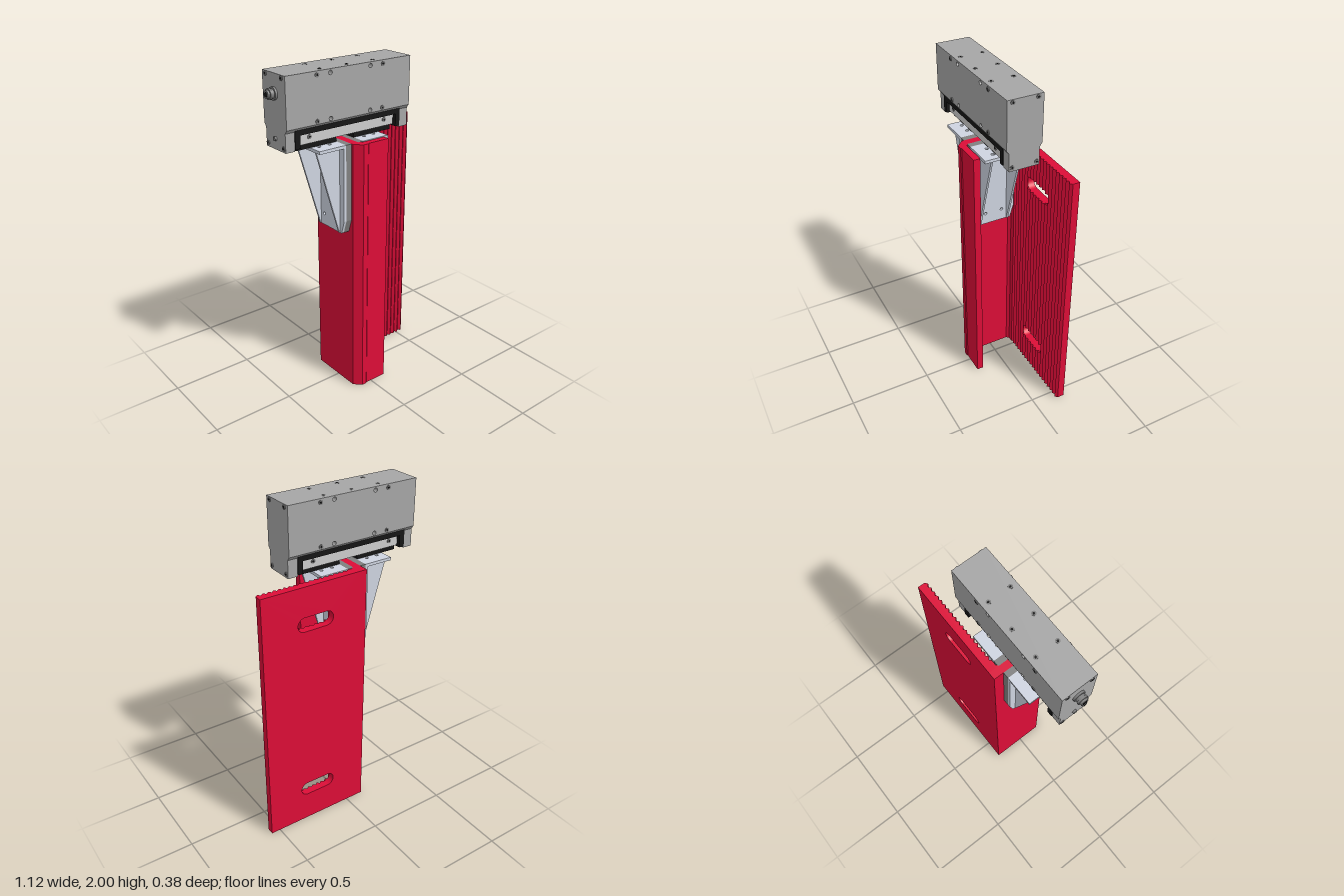
import * as THREE from 'three';

const mat = (color) => new THREE.MeshStandardMaterial({ color });
const RED = mat(0xdc0d37), GREY = mat(0xa6a6a6), DARK = mat(0x808080);
const BLACK = mat(0x151515), PALE = mat(0xced4e0), BAR = mat(0xcccccc);

function add(parent, name, geometry, material, x = 0, y = 0, z = 0) {
  const mesh = new THREE.Mesh(geometry, material);
  mesh.name = name;
  mesh.position.set(x, y, z);
  parent.add(mesh);
  return mesh;
}

// box given by its limits on each axis
function block(parent, name, material, x0, x1, y0, y1, z0, z1) {
  return add(parent, name, new THREE.BoxGeometry(x1 - x0, y1 - y0, z1 - z0), material,
    (x0 + x1) / 2, (y0 + y1) / 2, (z0 + z1) / 2);
}

const polygon = (pts) => new THREE.Shape(pts.map(([a, b]) => new THREE.Vector2(a, b)));
const extrude = (shape, depth) =>
  new THREE.ExtrudeGeometry(shape, { depth, bevelEnabled: false, curveSegments: 12 });

// [x, z] outline raised from y0 to y1
const prismY = (pts, y0, y1) =>
  extrude(polygon(pts.map(([x, z]) => [x, -z])), y1 - y0).rotateX(-Math.PI / 2).translate(0, y0, 0);

// shape drawn as [-z, y], extruded from x0 to x1
const prismX = (shape, x0, x1) => extrude(shape, x1 - x0).rotateY(Math.PI / 2).translate(x0, 0, 0);

function hole(shape, x, y, r) {
  shape.holes.push(new THREE.Path().absarc(x, y, r, 0, Math.PI * 2, true));
}

// small cap screw with a hex socket, its axis along x, y or z
function screw(parent, axis, x, y, z, r = 0.013) {
  const g = new THREE.Group();
  g.name = 'screw';
  add(g, 'screwHead', new THREE.CylinderGeometry(r, r, 0.006, 20), DARK);
  add(g, 'screwSocket', new THREE.CylinderGeometry(r * 0.5, r * 0.5, 0.008, 6), BLACK);
  if (axis === 'x') g.rotation.z = Math.PI / 2;
  if (axis === 'z') g.rotation.x = Math.PI / 2;
  g.position.set(x, y, z);
  parent.add(g);
}

const HEIGHT = 1.58;
const SLOT = { x: 0.221, half: 0.072, r: 0.043, ys: [0.228, 1.357] };

function createColumn() {
  const g = new THREE.Group();
  g.name = 'column';

  // web with the short front lip
  add(g, 'webAndLip', prismY([
    [-0.115, -0.195], [-0.07, -0.195], [-0.07, 0.13], [-0.055, 0.145], [0.107, 0.145],
    [0.107, 0.185], [-0.035, 0.185], [-0.042, 0.19], [-0.073, 0.19], [-0.115, 0.148],
  ], 0, HEIGHT), RED);

  // long rear plate with two slots
  const plate = polygon([[-0.07, 0], [0.557, 0], [0.557, HEIGHT], [-0.07, HEIGHT]]);
  for (const y of SLOT.ys) {
    const p = new THREE.Path();
    p.absarc(SLOT.x + SLOT.half, y, SLOT.r, -Math.PI / 2, Math.PI / 2, false);
    p.absarc(SLOT.x - SLOT.half, y, SLOT.r, Math.PI / 2, Math.PI * 1.5, false);
    p.closePath();
    plate.holes.push(p);
  }
  add(g, 'rearPlate', extrude(plate, 0.043).translate(0, 0, -0.195), RED);
  add(g, 'plateShoulder', prismY([[-0.07, -0.152], [-0.013, -0.152], [-0.022, -0.14],
    [-0.055, -0.14], [-0.07, -0.125]], 0, HEIGHT), RED);

  // serrations, interrupted at the slots
  const count = 18, pitch = 0.57 / count;
  for (let i = 0; i < count; i++) {
    const x0 = -0.013 + i * pitch, xm = x0 + pitch / 2;
    const dx = Math.abs(xm - SLOT.x), over = Math.max(0, dx - SLOT.half);
    const h = over < SLOT.r ? Math.sqrt(SLOT.r ** 2 - over ** 2) : 0;
    const cuts = h ? [0, ...SLOT.ys.flatMap((y) => [y - h, y + h]), HEIGHT] : [0, HEIGHT];
    for (let k = 0; k < cuts.length; k += 2) {
      add(g, 'serration', prismY([[x0, -0.152], [x0 + pitch, -0.152], [xm, -0.139]],
        cuts[k], cuts[k + 1]), RED);
    }
  }
  return g;
}

// angle bracket, reaching out along local +x from the middle of the web
function createBracket() {
  const g = new THREE.Group();
  g.name = 'bracket';
  const face = () => {
    const s = polygon([[-0.11, 1.05], [0.11, 1.05], [0.135, 1.13], [0.135, HEIGHT],
      [-0.135, HEIGHT], [-0.135, 1.13]]);
    for (const z of [-0.053, 0.053]) for (const y of [1.12, 1.5]) hole(s, z, y, 0.009);
    return s;
  };
  add(g, 'spacer', prismX(face(), 0.0225, 0.06), DARK);
  add(g, 'bracketBack', prismX(face(), 0.06, 0.076), PALE);

  // top flange with fixing holes
  const top = polygon([[0.076, -0.135], [0.2375, -0.135], [0.2375, 0.135], [0.076, 0.135]]);
  for (const x of [0.12, 0.19]) for (const z of [-0.065, 0.065]) hole(top, x, z, 0.01);
  add(g, 'bracketTop', extrude(top, 0.018).rotateX(-Math.PI / 2).translate(0, HEIGHT - 0.018, 0), PALE);

  // triangular gussets
  const web = polygon([[0.076, 1.05], [0.08, 1.05], [0.232, HEIGHT - 0.018], [0.076, HEIGHT - 0.018]]);
  for (const z of [-0.096, 0.084]) add(g, 'gusset', extrude(web, 0.012).translate(0, 0, z), PALE);
  return g;
}

function createHead() {
  const g = new THREE.Group();
  g.name = 'head';

  // main housing with four cross holes
  const body = polygon([[-0.512, 1.72], [0.325, 1.72], [0.325, 2], [-0.512, 2]]);
  for (const x of [-0.23, 0.039]) for (const y of [1.736, 1.98]) hole(body, x, y, 0.012);
  add(g, 'housing', extrude(body, 0.21).translate(0, 0, -0.105), GREY);

  // narrower lower part: tapered shoulder and two end legs
  const shoulder = polygon([[-0.09, 1.7], [0.09, 1.7], [0.105, 1.72], [-0.105, 1.72]]);
  add(g, 'shoulder', prismX(shoulder, -0.512, 0.325), GREY);
  block(g, 'endLeg', GREY, -0.512, -0.455, 1.595, 1.7, -0.09, 0.09);
  block(g, 'endLeg', GREY, 0.265, 0.325, 1.595, 1.7, -0.09, 0.09);

  // black frame around the moving carriage
  add(g, 'carriageFrame', extrude(polygon([[-0.455, 1.605], [-0.422, 1.605], [-0.422, 1.677],
    [0.235, 1.677], [0.235, 1.605], [0.265, 1.605], [0.265, 1.708], [-0.455, 1.708]]), 0.19)
    .translate(0, 0, -0.095), BLACK);
  block(g, 'carriage', BAR, -0.415, 0.228, 1.618, 1.677, -0.08, 0.08);
  for (const x of [-0.355, 0.16]) for (const s of [-1, 1]) screw(g, 'z', x, 1.655, s * 0.081);

  // black pads above the brackets
  for (const [x0, x1] of [[-0.422, -0.155], [-0.035, 0.23]]) {
    block(g, 'mountingPad', BLACK, x0, x1, HEIGHT, 1.618, -0.05, 0.05);
  }

  // screws on the top, sides and ends
  for (const s of [-1, 1]) {
    for (const x of [-0.272, -0.095, 0.083]) screw(g, 'y', x, 2 - 0.002, s * 0.066);
    for (const x of [-0.317, 0.126]) for (const y of [1.736, 1.98]) screw(g, 'z', x, y, s * 0.106);
    for (const x of [-0.513, 0.326]) for (const y of [1.617, 1.985]) screw(g, 'x', x, y, s * 0.073);
  }

  // round cable connector and small plug on the end
  const steps = [[0.035, 0.012], [0.026, 0.012], [0.03, 0.012], [0.022, 0.012]];
  let x = -0.512;
  for (const [r, len] of steps) {
    add(g, 'connectorRing', new THREE.CylinderGeometry(r, r, len, 24).rotateZ(Math.PI / 2), DARK,
      x - len / 2, 1.895, 0);
    x -= len;
  }
  add(g, 'connectorCore', new THREE.CylinderGeometry(0.013, 0.013, 0.004, 16).rotateZ(Math.PI / 2),
    BLACK, x, 1.895, 0);
  add(g, 'plug', new THREE.CylinderGeometry(0.012, 0.012, 0.012, 16).rotateZ(Math.PI / 2), DARK,
    -0.517, 1.655, 0);
  return g;
}

export function createModel() {
  const model = new THREE.Group();
  model.name = 'columnMountedSlide';
  model.add(createColumn(), createHead());
  for (const turn of [0, Math.PI]) {
    const bracket = createBracket();
    bracket.position.x = -0.0925;
    bracket.rotation.y = turn;
    model.add(bracket);
  }
  return model;
}
